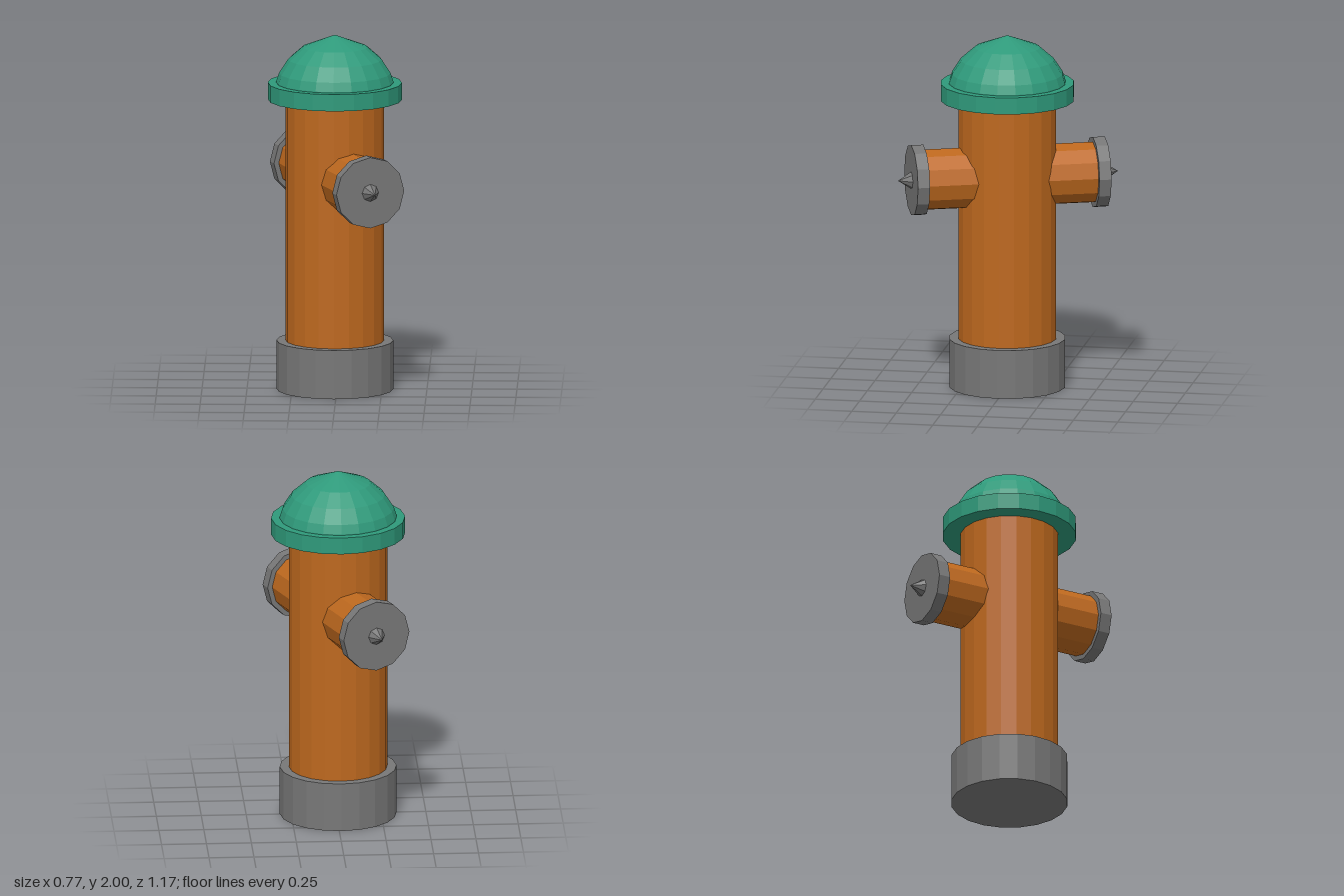
import * as THREE from 'three';

const paint = (color) => new THREE.MeshStandardMaterial({ color, flatShading: true });

export function createModel() {
  const model = new THREE.Group();
  model.name = 'fireHydrant';
  const orange = paint(0xbd681e);
  const green = paint(0x2f9a7b);
  const grey = paint(0x777777);

  const add = (parent, name, geometry, material) => {
    const mesh = new THREE.Mesh(geometry, material);
    mesh.name = name;
    parent.add(mesh);
    return mesh;
  };
  // Cylinder spanning y0..y1
  const drum = (r, y0, y1, sides) =>
    new THREE.CylinderGeometry(r, r, y1 - y0, sides).translate(0, (y0 + y1) / 2, 0);

  // Upright barrel, base and bonnet, slightly off the nozzle axis
  const column = new THREE.Group();
  column.name = 'column';
  column.position.set(-0.012, 0, 0.006);
  model.add(column);
  add(column, 'base', drum(0.325, 0, 0.275, 20), grey);
  add(column, 'barrel', drum(0.274, 0.2, 1.68, 20), orange);
  add(column, 'bonnetRim', drum(0.373, 1.635, 1.73, 20), green);

  // Faceted dome ending in a shallow point
  const dome = [[0.326, 1.72], [0.326, 1.735], [0.31, 1.785], [0.26, 1.862], [0.18, 1.932], [0, 2]]
    .map(([r, y]) => new THREE.Vector2(r, y));
  add(column, 'bonnetDome', new THREE.LatheGeometry(dome, 20), green);

  // Two opposite hose outlets, each with pipe, cap and pointed nut
  for (const [name, turn] of [['frontOutlet', 0], ['backOutlet', Math.PI]]) {
    const outlet = new THREE.Group();
    outlet.name = name;
    outlet.position.y = 1.2;
    outlet.rotation.y = THREE.MathUtils.degToRad(21) + turn;
    model.add(outlet);
    const along = (geometry) => geometry.rotateX(Math.PI / 2);
    add(outlet, 'outletPipe', along(drum(0.172, 0.1, 0.5, 12)), orange);
    add(outlet, 'outletCap', along(drum(0.2, 0.48, 0.548, 12)), grey);
    add(outlet, 'capNut', along(new THREE.ConeGeometry(0.052, 0.08, 8).translate(0, 0.583, 0)), grey);
  }
  return model;
}
